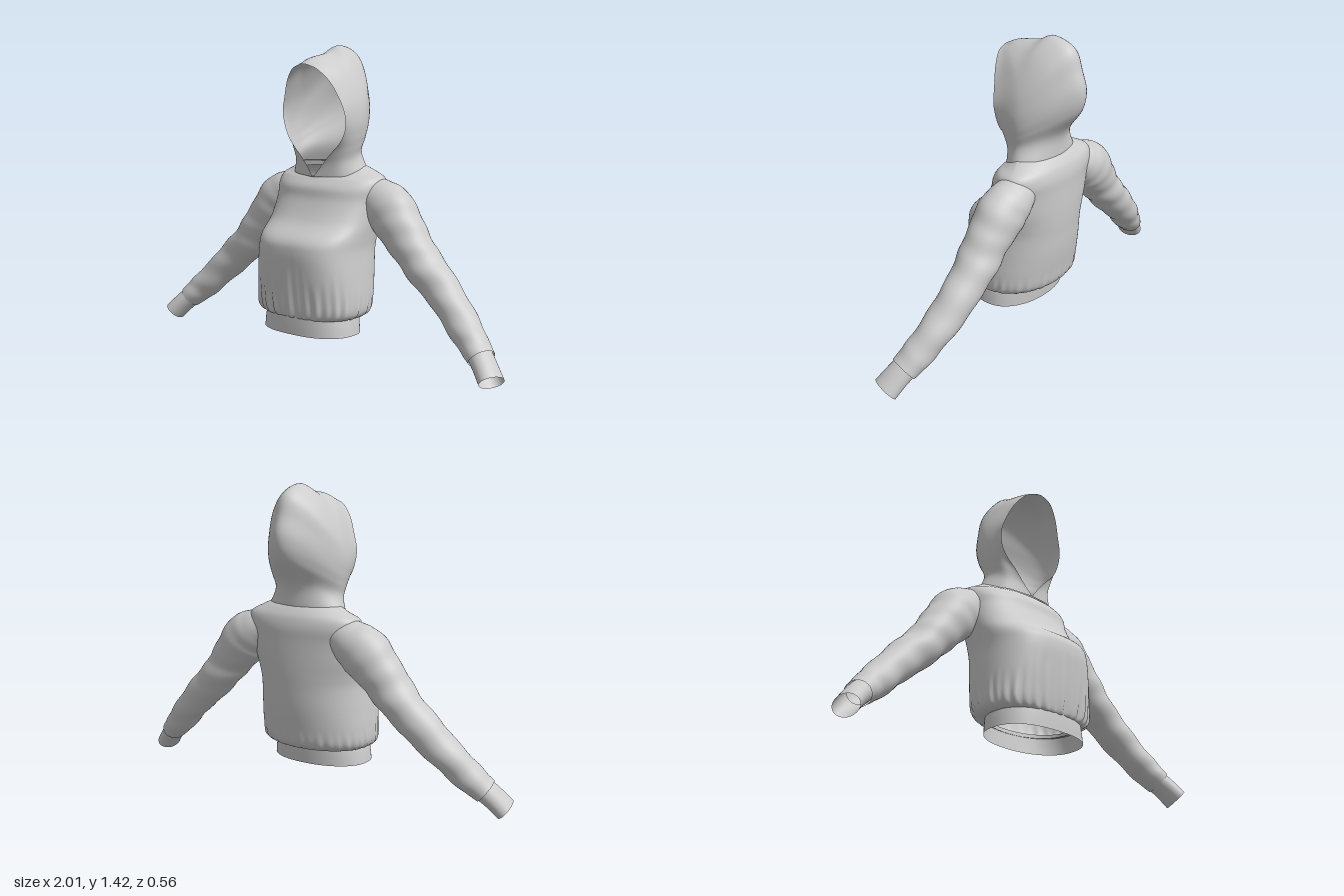
import * as THREE from 'three';

const material = new THREE.MeshStandardMaterial({ color: 0xcccccc, side: THREE.DoubleSide });

// Smooth interpolation between rows of section parameters, t in 0..1
function rowSpline(rows) {
  const times = rows.map((_, i) => i);
  const cubic = new THREE.CubicInterpolant(times, rows.flat(), rows[0].length);
  return t => Array.from(cubic.evaluate(Math.min(t, 1) * (rows.length - 1)));
}

// Smooth surface from point(u, v); u runs around the section, v along the part
function surface(nu, nv, closed, point) {
  const pos = [], idx = [], cols = closed ? nu : nu + 1;
  for (let j = 0; j <= nv; j++)
    for (let i = 0; i < cols; i++) pos.push(...point(i / nu, j / nv));
  for (let j = 0; j < nv; j++)
    for (let i = 0; i < nu; i++) {
      const k = (i + 1) % cols;
      const a = j * cols + i, b = j * cols + k, c = a + cols, d = b + cols;
      idx.push(a, b, d, a, d, c);
    }
  const geo = new THREE.BufferGeometry();
  geo.setAttribute('position', new THREE.Float32BufferAttribute(pos, 3));
  geo.setIndex(idx);
  geo.computeVertexNormals();
  return geo;
}

function add(parent, name, geo) {
  const mesh = new THREE.Mesh(geo, material);
  mesh.name = name;
  parent.add(mesh);
  return mesh;
}

// Ring with a squarer front half and a rounder back half
function ring(u, hx, zf, zb, zc, squareness) {
  const a = u * Math.PI * 2, s = Math.sin(a), c = Math.cos(a);
  const n = c > 0 ? squareness : 2.15;
  const r = 1 / Math.pow(Math.abs(s) ** n + Math.abs(c) ** n, 1 / n);
  return [hx * s * r, zc + (c > 0 ? zf - zc : zc - zb) * c * r];
}

function torsoGeometry() {
  // y, half width, front z, back z, widest z, squareness, front drop
  const at = rowSpline([
    [.195, .215, .225, -.085, .08, 2.6, 0],
    [.2, .25, .245, -.12, .07, 2.7, 0],
    [.23, .274, .255, -.155, .06, 2.8, 0],
    [.3, .277, .265, -.17, .05, 2.8, 0],
    [.4, .27, .275, -.186, .04, 2.9, 0],
    [.5, .262, .28, -.194, .02, 2.9, 0],
    [.56, .266, .262, -.198, 0, 2.8, 0],
    [.63, .275, .18, -.2, -.03, 2.6, 0],
    [.72, .28, .125, -.2, -.06, 2.5, 0],
    [.78, .29, .108, -.2, -.08, 2.4, 0],
    [.825, .28, .08, -.19, -.08, 2.3, -.01],
    [.855, .23, .07, -.172, -.07, 2.2, -.03],
    [.88, .18, .065, -.15, -.05, 2.1, -.05],
  ]);
  return surface(176, 72, true, (u, v) => {
    const [y, hx, zf, zb, zc, n, drop] = at(v);
    const [x, z] = ring(u, hx, zf, zb, zc, n);
    const a = u * Math.PI * 2, front = Math.max(0, Math.cos(a));
    // Uneven gathers fan up from the waistband, longest in front
    const reach = .07 + .2 * front * (.7 + .3 * Math.sin(a * 9));
    const fade = Math.max(0, 1 - Math.abs(y - .23) / reach) * (.45 + .55 * front);
    const pleat = 1 + fade * .022 * (Math.sin(a * 37) + .6 * Math.sin(a * 23 + 1));
    return [x * pleat, y + drop * front, zc + (z - zc) * pleat];
  });
}

function waistbandGeometry() {
  const at = rowSpline([
    [.118, .243, .246, -.08, .08, 2.5],
    [.165, .237, .245, -.085, .08, 2.5],
    [.215, .228, .242, -.09, .08, 2.5],
  ]);
  return surface(80, 6, true, (u, v) => {
    const [y, ...shape] = at(v);
    const [x, z] = ring(u, ...shape);
    return [x, y, z];
  });
}

// Tube along a centre line with oval sections: x, y, z, radius in the arm plane, radius in depth
function sleeveGeometry(rows, nv, wrinkle) {
  const at = rowSpline(rows);
  const T = new THREE.Vector3(), B = new THREE.Vector3(), N = new THREE.Vector3();
  return surface(40, nv, true, (u, v) => {
    const [x, y, z, rn, rb] = at(v);
    const p = at(Math.max(0, v - .02)), q = at(Math.min(1, v + .02));
    T.set(q[0] - p[0], q[1] - p[1], q[2] - p[2]).normalize();
    B.set(0, 0, 1).addScaledVector(T, -T.z).normalize();
    N.crossVectors(T, B);
    const a = u * Math.PI * 2;
    // Diagonal creases grow toward the wrist
    const k = 1 + wrinkle * v * Math.sqrt(Math.sin(v * Math.PI) + 1e-6) *
      (Math.sin(v * 52 + 2.5 * Math.sin(a + 1)) + .7 * Math.sin(v * 31 + 2 * a));
    const n = Math.cos(a) * rn * k, b = Math.sin(a) * rb * k;
    return [x + N.x * n + B.x * b, y + N.y * n + B.y * b, z + N.z * n + B.z * b];
  });
}

function hoodGeometry() {
  // Centre seam y z, side x y z, opening rim x y z; from forehead to neck
  const at = rowSpline([
    [1.343, .147, .015, 1.342, .146, .025, 1.34, .146],
    [1.372, .08, .06, 1.345, .09, .075, 1.32, .138],
    [1.392, -.03, .113, 1.315, .02, .128, 1.265, .114],
    [1.424, -.11, .155, 1.25, -.03, .164, 1.19, .092],
    [1.385, -.215, .182, 1.18, -.06, .186, 1.12, .08],
    [1.29, -.255, .193, 1.1, -.06, .18, 1.05, .071],
    [1.2, -.281, .188, 1.03, -.06, .15, .99, .072],
    [1.1, -.258, .18, .98, -.05, .095, .935, .075],
    [.975, -.168, .172, .92, -.04, .045, .88, .075],
    [.855, -.155, .2, .85, -.06, 0, .825, .082],
  ]);
  const mix = THREE.MathUtils.lerp;
  const ribs = new Map();
  const rib = v => {
    if (!ribs.has(v)) {
      const [my, mz, sx, sy, sz, rx, ry, rz] = at(v);
      // Narrow toward the seam, rounder at the neck
      const wide = .54 + .2 * THREE.MathUtils.smoothstep(v, .75, 1);
      const half = [
        [rx, ry, rz],
        [mix(rx, sx, .72), mix(sy, ry, .6), mix(sz, rz, .72)],
        [sx, sy, sz],
        [sx * wide, mix(my, sy, .33), mix(mz, sz, .33)],
      ];
      const pts = [...half, [0, my, mz], ...half.map(([x, y, z]) => [-x, y, z]).reverse()];
      ribs.set(v, new THREE.CatmullRomCurve3(pts.map(p => new THREE.Vector3(...p))));
    }
    return ribs.get(v);
  };
  return surface(64, 60, false, (u, v) => rib(v).getPoint(u).toArray());
}

export function createModel() {
  const model = new THREE.Group();
  model.name = 'hoodedSweatshirt';
  add(model, 'torso', torsoGeometry());
  add(model, 'waistband', waistbandGeometry());
  add(model, 'hood', hoodGeometry());

  // Left arm, then its mirror image
  const sleeve = sleeveGeometry([
    [.19, .755, -.082, .075, .08],
    [.26, .725, -.08, .104, .1],
    [.335, .675, -.075, .12, .108],
    [.42, .58, -.066, .103, .1],
    [.52, .465, -.062, .09, .094],
    [.66, .335, -.05, .08, .082],
    [.8, .2, -.01, .069, .074],
    [.89, .12, .025, .056, .067],
  ], 80, .045);
  const cuff = sleeveGeometry([
    [.875, .133, .018, .051, .06],
    [.92, .09, .042, .048, .062],
    [.966, .04, .066, .047, .066],
  ], 8, 0);
  for (const side of ['left', 'right']) {
    const arm = new THREE.Group();
    arm.name = side + 'Arm';
    add(arm, side + 'Sleeve', sleeve);
    add(arm, side + 'Cuff', cuff);
    if (side === 'right') arm.scale.x = -1;
    model.add(arm);
  }
  return model;
}
